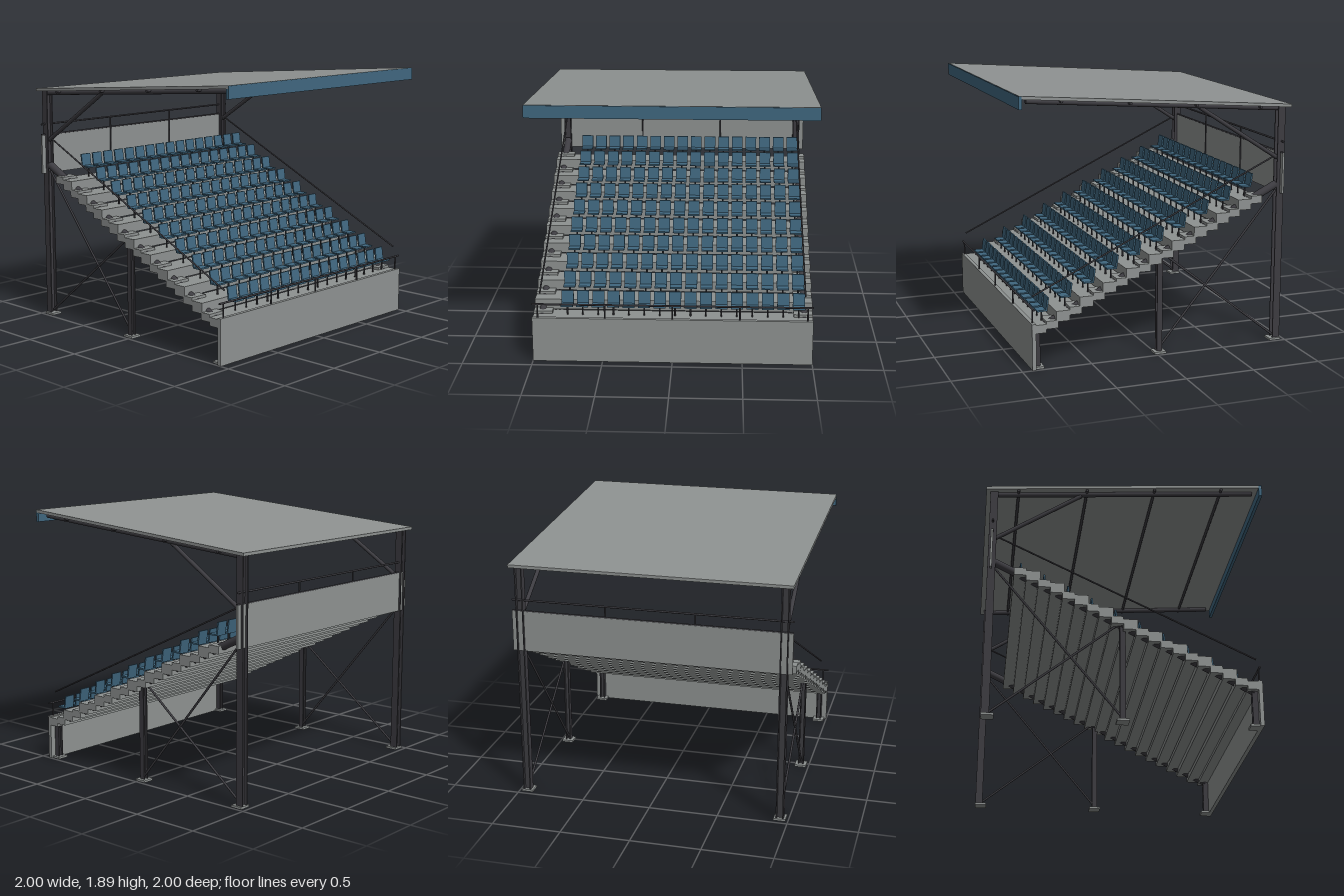
import * as THREE from 'three';
import { mergeGeometries } from 'three/addons/utils/BufferGeometryUtils.js';

const mat = (name, color) => Object.assign(new THREE.MeshStandardMaterial({ color }), { name });

const ROWS = 10, RUN = 0.1695, DROP = 0.0842; // stepping of the terrace
const X0 = -0.785, Y0 = 1.08;                 // back edge and top of the highest tread
const FRAME_Z = 0.94;

// Box given by its min and max corners
function box(x0, x1, y0, y1, z0, z1) {
  return new THREE.BoxGeometry(x1 - x0, y1 - y0, z1 - z0)
    .translate((x0 + x1) / 2, (y0 + y1) / 2, (z0 + z1) / 2);
}

// Round bar between two points
function bar(a, b, r, sides = 12) {
  const p = new THREE.Vector3(...a), q = new THREE.Vector3(...b);
  const dir = q.clone().sub(p);
  const g = new THREE.CylinderGeometry(r, r, dir.length(), sides);
  g.applyQuaternion(new THREE.Quaternion().setFromUnitVectors(new THREE.Vector3(0, 1, 0), dir.normalize()));
  const mid = p.add(q).multiplyScalar(0.5);
  return g.translate(mid.x, mid.y, mid.z);
}

// Profile in x/y, extruded along z
function extrude(points, z0, z1) {
  const shape = new THREE.Shape(points.map(([x, y]) => new THREE.Vector2(x, y)));
  return new THREE.ExtrudeGeometry(shape, { depth: z1 - z0, bevelEnabled: false }).translate(0, 0, z0);
}

// Joins indexed and non-indexed parts alike
const merge = parts => mergeGeometries(parts.map(g => (g.index ? g.toNonIndexed() : g)));

// H-section column: two flanges and a web
function column(x, z, w, top) {
  const h = w / 2, t = 0.008;
  return merge([
    box(x - h, x + h, 0.015, top, z - h, z - h + t),
    box(x - h, x + h, 0.015, top, z + h - t, z + h),
    box(x - t / 2, x + t / 2, 0.015, top, z - h + t, z + h - t),
  ]);
}

export function createModel() {
  const model = new THREE.Group();
  model.name = 'grandstand';
  const steel = mat('dark steel', 0x3d3c41);
  const concrete = mat('concrete grey', 0x8e9291);
  const blue = mat('seat blue', 0x40677f);
  const add = (name, parts, material) => {
    const mesh = new THREE.Mesh(merge(parts), material);
    mesh.name = name;
    model.add(mesh);
  };

  // Terrace treads, half steps at both ends, and seats
  const treads = [], halfSteps = [], seats = [], seatPosts = [];
  for (let i = 0; i < ROWS; i++) {
    const x = X0 + i * RUN, y = Y0 - i * DROP;
    const nose = i === ROWS - 1 ? -0.06 : -0.075;
    treads.push(extrude([[x, y], [x, y - 0.035], [x + 0.085, y - 0.035], [x + 0.085, y + nose],
      [x + 0.183, y + nose], [x + 0.183, y]], -1, 1));
    halfSteps.push(box(x, x + 0.085, y - 0.03, y + 0.02, 0.865, 1));
    halfSteps.push(box(x, x + 0.085, y - 0.03, y + 0.02, -1, -0.865));
    for (let k = 0; k < 16; k++) {
      const z = 0.755 - k * 0.1103;
      seats.push(box(x + 0.06, x + 0.133, y + 0.073, y + 0.084, z - 0.043, z + 0.043));
      seats.push(extrude([[x + 0.06, y + 0.08], [x + 0.071, y + 0.08], [x + 0.058, y + 0.17],
        [x + 0.047, y + 0.17]], z - 0.043, z + 0.043));
      seatPosts.push(bar([x + 0.09, y, z], [x + 0.09, y + 0.074, z], 0.006, 8));
    }
  }
  add('treads', treads, concrete);
  add('halfSteps', halfSteps, concrete);
  add('seats', seats, blue);
  add('seatPosts', seatPosts, steel);

  // Walls at the front and back
  add('frontWall', [box(0.9, 0.928, 0, 0.33, -1, 1)], concrete);
  add('backWall', [box(-0.955, -0.94, 1.1, 1.395, -1, 1)], concrete);

  // The two side frames
  const frames = [], bracing = [], handrails = [], plates = [];
  for (const z of [-FRAME_Z, FRAME_Z]) {
    for (const [x, w, top] of [[-0.942, 0.055, 1.725], [-0.024, 0.04, 0.72], [0.88, 0.04, 0.28]]) {
      frames.push(column(x, z, w, top));
      const px = x < -0.5 ? -0.927 : x;
      plates.push(box(px - 0.043, Math.min(px + 0.043, 0.9), 0, 0.016, z - 0.043, z + 0.043));
    }
    frames.push(bar([-0.92, 1.163, z], [0.885, 0.266, z], 0.028, 20));     // raking beam
    frames.push(bar([-0.95, 1.71, z], [0.935, 1.851, z], 0.018, 16));      // roof beam
    frames.push(bar([-0.925, 1.355, z], [-0.32, 1.745, z], 0.015, 16));    // roof strut
    bracing.push(bar([-0.92, 1.12, z], [-0.025, 0.035, z], 0.008));
    bracing.push(bar([-0.92, 0.035, z], [-0.03, 0.745, z], 0.008));
    handrails.push(bar([-0.92, 1.375, z], [0.905, 0.512, z], 0.006));
  }
  add('sideFrames', frames, steel);
  add('crossBracing', bracing, steel);
  add('sideHandrails', handrails, steel);
  add('basePlates', plates, concrete);

  // Railings above both walls
  const rails = [
    bar([0.914, 0.43, -1], [0.914, 0.43, 1], 0.007),
    bar([-0.945, 1.475, -1], [-0.945, 1.475, 1], 0.007),
    bar([-0.945, 1.395, -1], [-0.945, 1.395, 1], 0.007),
  ];
  for (const z of [-0.96, -0.48, 0, 0.48, 0.96]) rails.push(bar([0.914, 0.32, z], [0.914, 0.43, z], 0.006, 8));
  for (const z of [-0.32, 0.32]) rails.push(bar([-0.938, 1.15, z], [-0.938, 1.475, z], 0.006, 8));
  add('railings', rails, steel);

  // Sloping roof with purlins and a fascia
  const roofY = x => 1.819 + 0.076 * x;
  add('roof', [extrude([[-1, roofY(-1)], [-1, roofY(-1) - 0.022], [0.995, roofY(0.995) - 0.022],
    [0.995, roofY(0.995)]], -1, 1)], concrete);
  add('purlins', [0.7, 0.21, -0.28, -0.77].map(x =>
    bar([x, roofY(x) - 0.03, -0.99], [x, roofY(x) - 0.03, 0.99], 0.01)), steel);
  add('fascia', [box(0.977, 1, 1.805, 1.892, -1, 1)], blue);

  return model;
}
